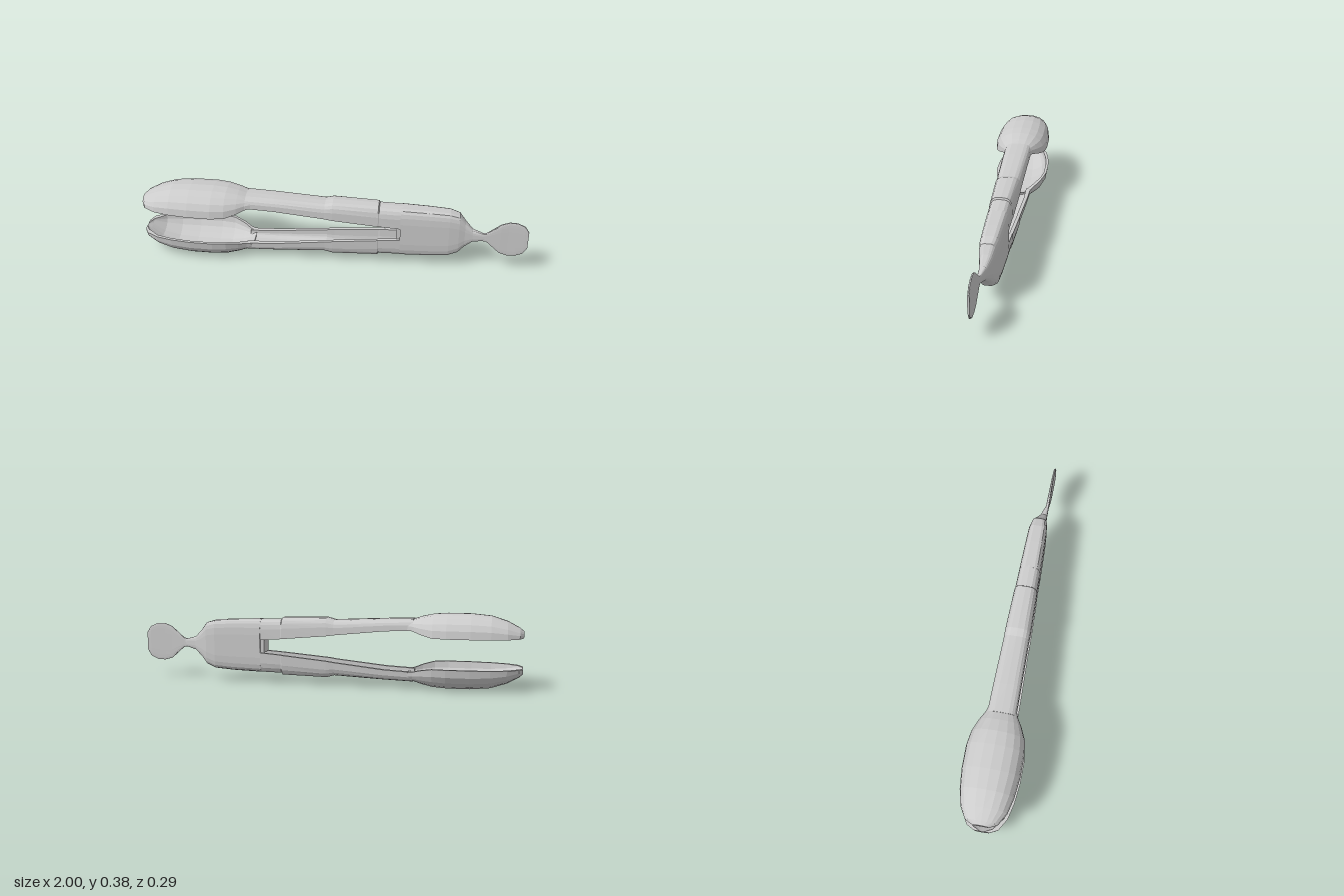
import * as THREE from 'three';

const MID = 0.193; // height of the mirror plane between the two arms

// Skins rings of [z, y] points, given at increasing x, and caps both ends
function loft(stations) {
  const n = stations[0].ring.length, pos = [], idx = [];
  for (const { x, ring } of stations) for (const [z, y] of ring) pos.push(x, y, z);
  const quad = (a, b, c, d) => idx.push(a, b, c, a, c, d);
  const last = (stations.length - 1) * n;
  for (let s = 0; s < last; s += n) {
    for (let j = 0; j < n; j++) {
      const k = (j + 1) % n;
      quad(s + j, s + k, s + n + k, s + n + j);
    }
  }
  for (let k = 0; k < n / 2 - 1; k++) {
    quad(last + k, last + k + 1, last + n - 2 - k, last + n - 1 - k);
    quad(n - 1 - k, n - 2 - k, k + 1, k);
  }
  const g = new THREE.BufferGeometry();
  g.setAttribute('position', new THREE.Float32BufferAttribute(pos, 3));
  g.setIndex(idx);
  const flat = g.toNonIndexed();
  flat.computeVertexNormals();
  return flat;
}

const power = (v, p) => Math.sign(v) * Math.pow(Math.abs(v), p);

// Half-round arch from -z over the top to +z; a small p makes it boxier
function arch(w, rim, h, p, steps = 10) {
  return Array.from({ length: steps + 1 }, (_, i) => {
    const a = (Math.PI * i) / steps;
    const c = i === steps / 2 ? 0 : Math.cos(a);
    const s = i === steps ? 0 : Math.sin(a);
    return [-w * power(c, p), rim + h * power(s, p)];
  });
}

// Hollow channel: outer arch, then the inner arch back again
function channel([x, top, rim, w, t, p]) {
  const h = top - rim;
  const inner = arch(Math.max(w - t, 0.004), rim, Math.max(h - t, 0.003), p);
  return { x, ring: [...arch(w, rim, h, p), ...inner.reverse()] };
}

// Rounded rectangle section
function block([x, bottom, top, w, z0, p], n = 20) {
  const ring = Array.from({ length: n }, (_, i) => {
    const a = (2 * Math.PI * (i + 0.5)) / n;
    return [z0 - w * power(Math.cos(a), p),
      (top + bottom) / 2 + ((top - bottom) / 2) * power(Math.sin(a), p)];
  });
  return { x, ring };
}

const mirrored = ({ x, ring }) => ({
  x, ring: ring.map(([z, y]) => [z, 2 * MID - y]).reverse(),
});

export function createModel() {
  const group = new THREE.Group();
  const material = new THREE.MeshStandardMaterial({ color: 0xcccccc, flatShading: true });
  const add = (name, geometry) => {
    const mesh = new THREE.Mesh(geometry, material);
    mesh.name = name;
    group.add(mesh);
  };

  // Columns: x, top, rim, half width, wall, roundness
  const head = [
    [-1.0, 0.302, 0.272, 0.04, 0.03, 0.9],
    [-0.98, 0.318, 0.27, 0.08, 0.03, 0.9],
    [-0.92, 0.35, 0.27, 0.115, 0.018, 0.9],
    [-0.84, 0.376, 0.27, 0.134, 0.015, 0.9],
    [-0.74, 0.385, 0.27, 0.145, 0.015, 0.9],
    [-0.62, 0.385, 0.27, 0.146, 0.015, 0.9],
    [-0.55, 0.38, 0.271, 0.135, 0.015, 0.9],
    [-0.49, 0.366, 0.284, 0.108, 0.018, 0.85],
    [-0.45, 0.352, 0.297, 0.083, 0.022, 0.75],
    [-0.42, 0.345, 0.303, 0.072, 0.025, 0.65],
  ].map(channel);
  const arm = [
    [-0.45, 0.355, 0.3, 0.073, 0.025, 0.6],
    [-0.3, 0.35, 0.292, 0.071, 0.02, 0.6],
    [-0.04, 0.338, 0.264, 0.066, 0.018, 0.6],
    [0.0, 0.35, 0.258, 0.067, 0.018, 0.6],
    [0.235, 0.345, 0.236, 0.061, 0.018, 0.6],
    [0.24, 0.336, 0.235, 0.059, 0.018, 0.6],
    [0.36, 0.333, 0.226, 0.056, 0.018, 0.55],
  ].map(channel);
  add('upperHead', loft(head));
  add('upperArm', loft(arm));
  add('lowerHead', loft(head.map(mirrored)));
  add('lowerArm', loft(arm.map(mirrored)));

  // Columns: x, bottom, top, half width, z centre, roundness
  add('handleBody', loft([
    [0.35, 0.053, 0.333, 0.057, 0, 0.45],
    [0.5, 0.058, 0.328, 0.053, 0, 0.45],
    [0.6, 0.066, 0.322, 0.049, 0, 0.45],
    [0.65, 0.086, 0.308, 0.041, 0.002, 0.5],
    [0.68, 0.122, 0.268, 0.031, 0.005, 0.55],
    [0.72, 0.157, 0.227, 0.019, 0.013, 0.6],
    [0.78, 0.172, 0.211, 0.009, 0.023, 0.6],
  ].map((s) => block(s))));

  // Flat paddle used as the pull tab
  add('pullTab', loft([
    [0.76, 0.17, 0.213, 0.009, 0.022, 0.4],
    [0.79, 0.168, 0.216, 0.008, 0.024, 0.4],
    [0.86, 0.105, 0.277, 0.007, 0.027, 0.4],
    [0.9, 0.093, 0.293, 0.006, 0.028, 0.4],
    [0.94, 0.094, 0.292, 0.006, 0.029, 0.4],
    [0.98, 0.112, 0.274, 0.006, 0.03, 0.4],
    [1.0, 0.145, 0.243, 0.005, 0.031, 0.4],
  ].map((s) => block(s))));

  // Small bridge closing the end of the slot
  const bridge = new THREE.BoxGeometry(0.03, 0.07, 0.09);
  bridge.translate(0.345, MID, 0);
  add('slotBridge', bridge);

  return group;
}
